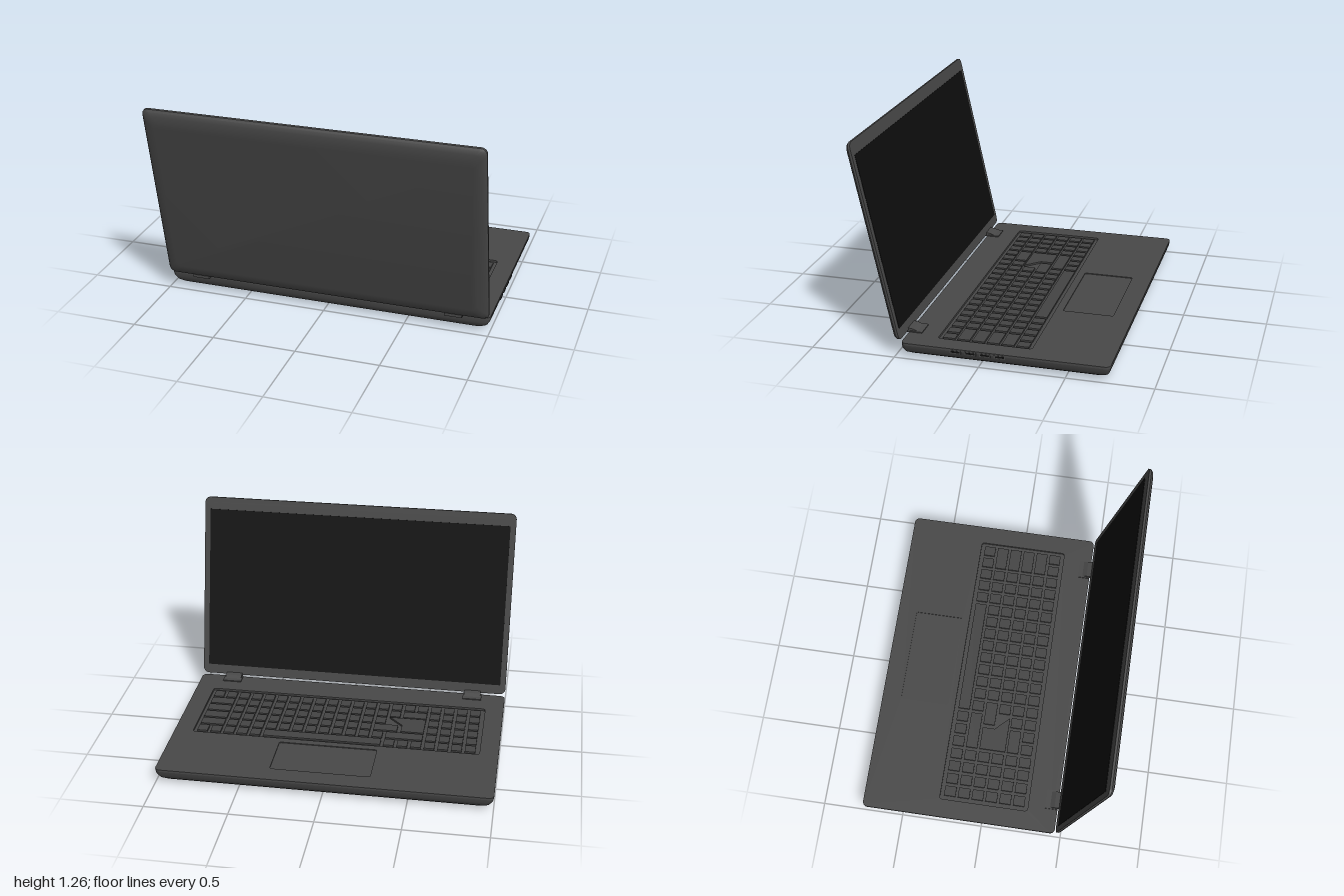
import * as THREE from 'three';
import { toCreasedNormals } from 'three/addons/utils/BufferGeometryUtils.js';

const bodyMat = new THREE.MeshStandardMaterial({ color: 0x484848 });
const keyMat = new THREE.MeshStandardMaterial({ color: 0x444444 });
const screenMat = new THREE.MeshStandardMaterial({ color: 0x0e0e0e });

function add(parent, name, geometry, material, x = 0, y = 0, z = 0) {
  const mesh = new THREE.Mesh(geometry, material);
  mesh.name = name;
  mesh.position.set(x, y, z);
  parent.add(mesh);
  return mesh;
}

// Counter-clockwise rounded rectangle outline
function roundRect(x0, x1, y0, y1, r, seg = 5) {
  const pts = [];
  [[x1 - r, y1 - r], [x0 + r, y1 - r], [x0 + r, y0 + r], [x1 - r, y0 + r]].forEach(([cx, cy], q) => {
    for (let i = 0; i <= seg; i++) {
      const a = (q + i / seg) * Math.PI / 2;
      pts.push(new THREE.Vector2(cx + r * Math.cos(a), cy + r * Math.sin(a)));
    }
  });
  return pts;
}

// Closed skin over sections [z, x half-width, y0, y1, radius], z increasing
function loft(sections) {
  const pos = [], idx = [];
  const rings = sections.map(([, hx, y0, y1, r]) => roundRect(-hx, hx, y0, y1, r));
  const n = rings[0].length;
  rings.forEach((ring, k) => ring.forEach(p => pos.push(p.x, p.y, sections[k][0])));
  for (let k = 0; k < rings.length - 1; k++) {
    for (let i = 0; i < n; i++) {
      const a = k * n + i, b = k * n + (i + 1) % n;
      idx.push(a, b, b + n, a, b + n, a + n);
    }
  }
  const top = (rings.length - 1) * n;
  for (let i = 1; i < n - 1; i++) idx.push(0, i + 1, i, top, top + i, top + i + 1);
  const g = new THREE.BufferGeometry();
  g.setAttribute('position', new THREE.Float32BufferAttribute(pos, 3));
  g.setIndex(idx);
  return toCreasedNormals(g, 0.5);
}

// Slab lying flat: outline in (x, -z), extruded upwards
function slab(points, depth, holes = []) {
  const shape = new THREE.Shape(points);
  holes.forEach(h => shape.holes.push(new THREE.Path(h)));
  return new THREE.ExtrudeGeometry(shape, { depth, bevelEnabled: false }).rotateX(-Math.PI / 2);
}

export function createModel() {
  const model = new THREE.Group();
  model.name = 'laptop';

  // Base tub with a rounded underside
  const base = new THREE.Group();
  base.name = 'base';
  model.add(base);
  add(base, 'baseTub', loft([
    [0, 0.86, -0.39, 0.67, 0.03],
    [0.006, 0.91, -0.41, 0.69, 0.03],
    [0.018, 0.95, -0.432, 0.715, 0.03],
    [0.036, 0.98, -0.45, 0.735, 0.03],
    [0.06, 0.995, -0.459, 0.746, 0.03],
    [0.082, 1, -0.46, 0.75, 0.03],
  ]).rotateX(-Math.PI / 2), bodyMat);

  // Deck with openings for the keyboard and the touchpad
  const well = roundRect(-0.885, 0.885, -0.275, 0.28, 0.015, 2);
  const pad = roundRect(-0.27, 0.33, 0.325, 0.63, 0.01, 2);
  add(base, 'deck', slab(roundRect(-1, 1, -0.46, 0.75, 0.03), 0.013, [well, pad]), bodyMat, 0, 0.082, 0);
  add(base, 'touchpad', slab(roundRect(-0.27, 0.33, 0.325, 0.63, 0.01, 2), 0.008), bodyMat, 0, 0.082, 0);

  // Keyboard: rows run from the user's edge to the hinge, [first column, columns spanned]
  const keyboard = new THREE.Group();
  keyboard.name = 'keyboard';
  base.add(keyboard);
  const pitch = 0.0829, size = 0.063;
  const wideKeys = [
    [[7, 9]],
    [[4, 3], [19, 2]],
    [[6, 2], [19, 2]],
    [[19, 2]],
    [[4, 2], [19, 2]],
    [],
  ];
  const skipped = { 2: [4, 5], 3: [4, 5, 6] };
  wideKeys.forEach((wides, row) => {
    for (let col = 0; col < 21;) {
      const wide = wides.find(w => w[0] === col);
      const span = wide ? wide[1] : 1;
      if (!(skipped[row] || []).includes(col)) {
        const w = size + (span - 1) * pitch;
        add(keyboard, 'key', new THREE.BoxGeometry(w, 0.012, 0.072), keyMat,
          -0.858 + col * pitch + w / 2, 0.087, -0.22 + row * 0.0872);
      }
      col += span;
    }
  });
  // Two-row key with a slanted corner
  const slanted = [[-0.526, -0.082], [-0.3, -0.082], [-0.385, 0.005], [-0.385, 0.082], [-0.526, 0.082]];
  add(keyboard, 'slantedKey', slab(slanted.map(p => new THREE.Vector2(...p)), 0.012), keyMat, 0, 0.081, 0);

  // Side ports
  for (const z of [0.135, 0.047, -0.037, -0.123]) {
    add(base, 'portFrame', new THREE.BoxGeometry(0.008, 0.02, 0.066), bodyMat, 0.998, 0.078, z);
    add(base, 'portTongue', new THREE.BoxGeometry(0.008, 0.01, 0.052), screenMat, 0.9985, 0.078, z);
  }

  // Lid, leaning back from the hinge edge
  const lid = new THREE.Group();
  lid.name = 'lid';
  lid.position.set(0, 0.105, 0.466);
  lid.rotation.x = 0.217;
  model.add(lid);
  add(lid, 'lidShell', loft([
    [0, 1, 0, 1.178, 0.035],
    [0.014, 1, 0, 1.178, 0.035],
    [0.026, 0.992, 0.008, 1.168, 0.035],
    [0.036, 0.972, 0.028, 1.145, 0.035],
    [0.042, 0.93, 0.07, 1.1, 0.035],
  ]), bodyMat);
  add(lid, 'screen', new THREE.BoxGeometry(1.93, 1.04, 0.004), screenMat, 0, 0.58, 0);

  // Hinges: a low plate on the deck and a knuckle reaching the lid
  for (const side of [-1, 1]) {
    const hinge = new THREE.Group();
    hinge.name = side > 0 ? 'leftHinge' : 'rightHinge';
    hinge.position.x = side * 0.79;
    model.add(hinge);
    add(hinge, 'hingePlate', new THREE.BoxGeometry(0.12, 0.01, 0.075), bodyMat, 0, 0.096, 0.42);
    const arm = [[0.41, 0.09], [0.495, 0.09], [0.495, 0.108], [0.47, 0.117], [0.44, 0.112], [0.41, 0.1]];
    const shape = new THREE.Shape(arm.map(([z, y]) => new THREE.Vector2(-z, y)));
    add(hinge, 'hingeKnuckle', new THREE.ExtrudeGeometry(shape, { depth: 0.104, bevelEnabled: false })
      .translate(0, 0, -0.052).rotateY(Math.PI / 2), bodyMat);
  }
  return model;
}
